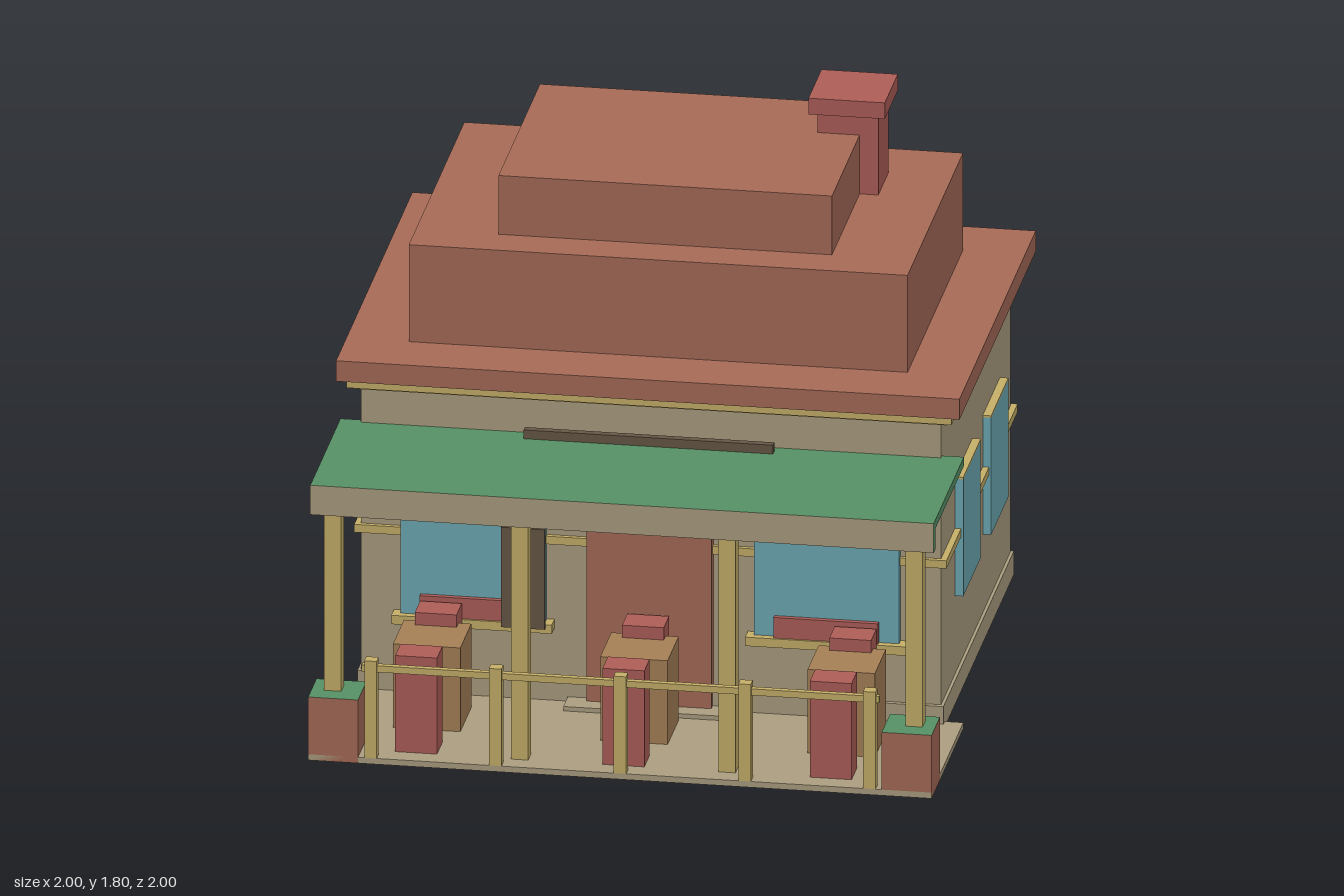
import * as THREE from 'three';

const mat = (name, color) => {
  const m = new THREE.MeshStandardMaterial({ color });
  m.name = name;
  return m;
};

export function createModel() {
  const model = new THREE.Group();
  model.name = 'house';

  const tan = mat('tanPlaster', 0xaa9d7f);
  const clay = mat('clayBrown', 0xa56a56);
  const red = mat('brickRed', 0xad5d57);
  const green = mat('green', 0x569066);
  const blue = mat('glassBlue', 0x6ca9b3);
  const trim = mat('creamTrim', 0xc4ae68);
  const dark = mat('darkWood', 0x655644);
  const wood = mat('tableWood', 0xa57f56);

  // box given by its limits on each axis
  const box = (name, material, x0, x1, y0, y1, z0, z1) => {
    const mesh = new THREE.Mesh(new THREE.BoxGeometry(x1 - x0, y1 - y0, z1 - z0), material);
    mesh.position.set((x0 + x1) / 2, (y0 + y1) / 2, (z0 + z1) / 2);
    mesh.name = name;
    model.add(mesh);
    return mesh;
  };
  // the same box on both sides of x = 0
  const pair = (name, material, x0, x1, ...rest) => {
    box(name + 'Left', material, x0, x1, ...rest);
    box(name + 'Right', material, -x1, -x0, ...rest);
  };

  // walls
  box('walls', tan, -0.93, 0.93, 0, 1.08, -0.93, 0.4);
  box('plinth', tan, -0.94, 0.94, 0, 0.08, -0.94, 0.415);
  box('wallBand', trim, -0.95, 0.95, 0.55, 0.577, -0.95, 0.415);
  box('cornice', trim, -0.97, 0.97, 1.05, 1.08, -0.97, 0.44);
  box('corniceLower', trim, -0.95, 0.95, 1.04, 1.05, -0.95, 0.42);

  // stepped roof
  box('roofSlab', clay, -1, 1, 1.08, 1.15, -1, 0.465);
  box('roofMiddle', clay, -0.8, 0.8, 1.15, 1.48, -0.8, 0.265);
  box('roofTop', clay, -0.535, 0.535, 1.48, 1.68, -0.665, 0.13);
  box('chimney', red, 0.4, 0.595, 1.48, 1.75, -0.6, -0.4);
  box('chimneyCap', red, 0.375, 0.62, 1.75, 1.805, -0.625, -0.375);
  box('roofVent', tan, -0.27, -0.14, 1.48, 1.615, -0.8, -0.665);

  // side windows with a thin trim strip on top
  for (const [z0, z1] of [[-0.2, 0.135], [-0.73, -0.4]]) {
    pair('sideWindow', blue, 0.92, 0.957, 0.347, 0.745, z0, z1);
    pair('sideWindowTrim', trim, 0.92, 0.957, 0.745, 0.752, z0, z1);
  }

  // front windows, lintels, sills and flower boxes
  pair('frontWindow', blue, 0.335, 0.8, 0.29, 0.82, 0.39, 0.428);
  pair('lintel', trim, 0.31, 0.825, 0.83, 0.865, 0.39, 0.445);
  pair('sill', trim, 0.31, 0.825, 0.26, 0.29, 0.39, 0.452);
  pair('flowerBox', red, 0.4, 0.735, 0.29, 0.36, 0.4, 0.445);

  // doors, step and boards
  box('frontDoor', clay, -0.2, 0.2, 0.02, 0.68, 0.39, 0.442);
  box('doorStep', tan, -0.265, 0.265, 0.02, 0.035, 0.4, 0.5);
  box('backDoor', clay, -0.135, 0.135, 0.02, 0.55, -0.957, -0.92);
  box('signBoard', dark, -0.4, 0.4, 0.75, 0.95, 0.43, 0.455);
  box('menuBoard', dark, -0.47, -0.33, 0.28, 0.62, 0.453, 0.47);

  // porch deck and canopy
  box('deck', tan, -1, 1, 0, 0.02, 0.39, 1);
  const canopyFaces = [green, green, green, tan, tan, tan];
  box('canopy', canopyFaces, -1, 1, 0.89, 0.92, 0.38, 0.925);
  box('fascia', canopyFaces, -1, 1, 0.82, 0.92, 0.925, 0.96);
  pair('outerPost', trim, 0.905, 0.96, 0.02, 0.89, 0.88, 0.935);
  pair('innerPost', trim, 0.305, 0.36, 0.02, 0.89, 0.88, 0.935);
  pair('planter', [clay, clay, green, clay, clay, clay], 0.84, 1, 0, 0.215, 0.84, 1);

  // railing
  for (const x of [-0.8, -0.4, 0, 0.4, 0.8]) {
    box('railPost', trim, x - 0.02, x + 0.02, 0.02, 0.35, 0.962, 1);
  }
  box('handrail', trim, -0.83, 0.83, 0.31, 0.332, 0.971, 0.991);

  // three tables, each with a seat in front and behind
  for (const x of [-0.665, 0, 0.665]) {
    box('table', wood, x - 0.108, x + 0.108, 0.02, 0.305, 0.52, 0.73);
    box('frontSeat', red, x - 0.067, x + 0.067, 0.02, 0.347, 0.83, 0.932);
    box('rearSeat', red, x - 0.067, x + 0.067, 0.02, 0.347, 0.457, 0.557);
  }

  return model;
}
